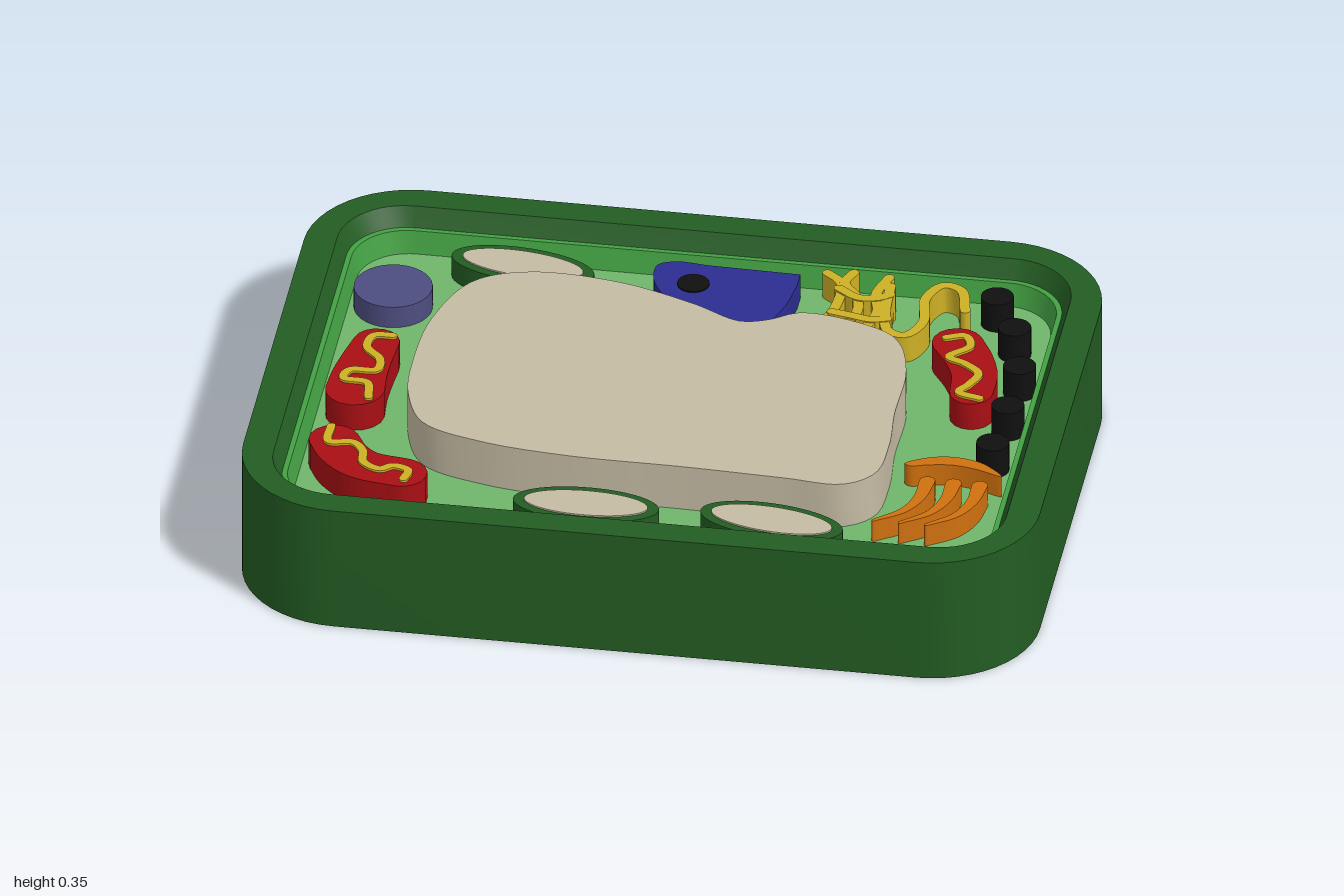
import * as THREE from 'three';
import { toCreasedNormals } from 'three/addons/utils/BufferGeometryUtils.js';

const mat = (name, color, side = THREE.FrontSide) => {
  const m = new THREE.MeshStandardMaterial({ color, side });
  m.name = name;
  return m;
};

const FLOOR = 0.23;

export function createModel() {
  const M = {
    wall: mat('dark green', 0x235c23),
    membrane: mat('mid green', 0x43a043),
    cytoplasm: mat('light green', 0x6fb56a),
    beige: mat('beige', 0xc4bba3),
    blue: mat('blue', 0x2c2c90),
    purple: mat('purple', 0x4d4d80),
    black: mat('black', 0x101010),
    red: mat('red', 0xa80f14),
    yellow: mat('yellow', 0xcdb026),
    orange: mat('orange', 0xd0700f),
  };
  const group = new THREE.Group();
  const add = (name, geometry, material) => {
    const mesh = new THREE.Mesh(geometry, material);
    mesh.name = name;
    group.add(mesh);
    return mesh;
  };

  // Skin through rounded rectangles [halfX, halfZ, radius, y]
  const loft = (sections) => {
    const n = 12, rings = sections.map(([hx, hz, r, y]) => {
      const ring = [];
      [[1, 1], [-1, 1], [-1, -1], [1, -1]].forEach(([sx, sz], c) => {
        for (let i = 0; i <= n; i++) {
          const a = (c + i / n) * Math.PI / 2;
          ring.push([sx * (hx - r) + r * Math.cos(a), y, sz * (hz - r) + r * Math.sin(a)]);
        }
      });
      return ring;
    });
    const pos = [];
    for (let k = 0; k + 1 < rings.length; k++) {
      const a = rings[k], b = rings[k + 1];
      for (let i = 0; i < a.length; i++) {
        const j = (i + 1) % a.length;
        pos.push(...a[i], ...b[i], ...b[j], ...a[i], ...b[j], ...a[j]);
      }
    }
    const g = new THREE.BufferGeometry();
    g.setAttribute('position', new THREE.Float32BufferAttribute(pos, 3));
    return toCreasedNormals(g, 0.6);
  };

  // Upright slab from an outline of [x, z] points
  const slab = (points, y0, y1) => {
    const shape = new THREE.Shape(points.map(([x, z]) => new THREE.Vector2(x, -z)));
    const g = new THREE.ExtrudeGeometry(shape, { depth: y1 - y0, bevelEnabled: false });
    g.rotateX(-Math.PI / 2);
    g.translate(0, y0, 0);
    return toCreasedNormals(g, 0.7);
  };
  const spline = (pts, closed, n) =>
    new THREE.CatmullRomCurve3(pts.map(([x, z]) => new THREE.Vector3(x, 0, z)), closed, 'centripetal').getSpacedPoints(n);
  const blob = (pts, n = 80) => spline(pts, true, n).slice(0, -1).map((p) => [p.x, p.z]);

  // Round-ended stroke along a path; the half width goes from w0 to w1
  const stroke = (pts, w0, w1, y0, y1, n = 40) => {
    const path = spline(pts, false, n), left = [], right = [];
    const dir = (i) => {
      const a = path[Math.max(i - 1, 0)], b = path[Math.min(i + 1, n)];
      return Math.atan2(b.z - a.z, b.x - a.x);
    };
    path.forEach((p, i) => {
      const a = dir(i), w = w0 + (w1 - w0) * i / n;
      left.push([p.x - Math.sin(a) * w, p.z + Math.cos(a) * w]);
      right.unshift([p.x + Math.sin(a) * w, p.z - Math.cos(a) * w]);
    });
    const cap = (p, a, w) => [1, 2, 3, 4, 5, 6, 7].map((k) => {
      const t = a + Math.PI / 2 - k * Math.PI / 8;
      return [p.x + Math.cos(t) * w, p.z + Math.sin(t) * w];
    });
    const outline = [...left, ...cap(path[n], dir(n), w1), ...right, ...cap(path[0], dir(0) + Math.PI, w0)];
    return slab(outline, y0, y1);
  };
  const disc = (name, x, z, r, y0, y1, material) => {
    const g = new THREE.CylinderGeometry(r, r, y1 - y0, 32);
    g.translate(x, (y0 + y1) / 2, z);
    add(name, g, material);
  };

  // Cell wall tray, membrane ledge and floor
  add('cellWall', loft([
    [0.002, 0.002, 0.001, 0], [1, 0.74, 0.27, 0], [1, 0.74, 0.27, 0.34],
    [0.92, 0.665, 0.17, 0.34], [0.897, 0.643, 0.15, 0.29],
  ]), M.wall);
  add('membrane', loft([
    [0.897, 0.643, 0.15, 0.29], [0.884, 0.63, 0.14, 0.29], [0.87, 0.617, 0.13, FLOOR],
  ]), M.membrane);
  add('cytoplasm', loft([[0.87, 0.617, 0.13, FLOOR], [0.002, 0.002, 0.001, FLOOR]]), M.cytoplasm);

  // Large central vacuole
  add('vacuole', slab(blob([
    [-0.42, -0.392], [-0.2, -0.382], [0, -0.315], [0.13, -0.253], [0.2, -0.272], [0.27, -0.315], [0.4, -0.3],
    [0.52, -0.24], [0.572, -0.1], [0.575, 0.1], [0.585, 0.25], [0.57, 0.38], [0.5, 0.44], [0.35, 0.435],
    [0.1, 0.425], [-0.2, 0.42], [-0.42, 0.39], [-0.57, 0.33], [-0.63, 0.2], [-0.642, 0.05], [-0.625, -0.15], [-0.55, -0.33],
  ], 140), FLOOR, 0.355), M.beige);

  // Nucleus with nucleolus
  add('nucleus', slab([[0.23, -0.57], ...spline([
    [0.23, -0.52], [0.215, -0.42], [0.18, -0.335], [0.12, -0.305], [0.02, -0.335], [-0.07, -0.4], [-0.125, -0.49],
    [-0.125, -0.56], [-0.08, -0.58], [0, -0.575],
  ], false, 60).map((p) => [p.x, p.z])], FLOOR, 0.3), M.blue);
  disc('nucleolus', -0.025, -0.485, 0.04, 0.296, 0.304, M.black);

  // Round body and small dark bodies along the side
  disc('peroxisome', -0.76, -0.373, 0.098, FLOOR, 0.29, M.purple);
  for (const [x, z] of [[0.73, -0.535], [0.795, -0.403], [0.835, -0.232], [0.835, -0.05], [0.825, 0.123]])
    disc('ribosome', x, z, 0.041, FLOOR, 0.31, M.black);

  // Chloroplasts: oval rim with a pale face
  for (const [x, z, turn] of [[-0.458, -0.52, 0.13], [-0.13, 0.532, 0], [0.336, 0.532, 0.13]]) {
    const oval = (a, b) => Array.from({ length: 48 }, (_, i) => {
      const t = i / 24 * Math.PI, u = a * Math.cos(t), v = b * Math.sin(t);
      return [x + u * Math.cos(turn) - v * Math.sin(turn), z + u * Math.sin(turn) + v * Math.cos(turn)];
    });
    add('chloroplast', slab(oval(0.183, 0.076), FLOOR, 0.29), M.wall);
    add('chloroplastFace', slab(oval(0.155, 0.055), 0.288, 0.294), M.beige);
  }

  // Mitochondria with folded inner lines
  const mitochondria = [
    [[[-0.757, -0.095], [-0.77, 0], [-0.775, 0.06], [-0.775, 0.128]], 0.058, 0.074,
      [[-0.72, -0.12], [-0.765, -0.115], [-0.775, -0.06], [-0.735, -0.01], [-0.735, 0.04], [-0.8, 0.05], [-0.81, 0.09], [-0.75, 0.1], [-0.735, 0.165]]],
    [[[-0.79, 0.36], [-0.755, 0.42], [-0.7, 0.465], [-0.6, 0.485]], 0.063, 0.064,
      [[-0.805, 0.31], [-0.8, 0.38], [-0.74, 0.375], [-0.71, 0.41], [-0.7, 0.46], [-0.655, 0.485], [-0.625, 0.465], [-0.585, 0.48], [-0.59, 0.52]]],
    [[[0.665, -0.32], [0.705, -0.25], [0.73, -0.18], [0.735, -0.1]], 0.064, 0.054,
      [[0.635, -0.33], [0.68, -0.345], [0.7, -0.3], [0.655, -0.245], [0.7, -0.22], [0.74, -0.18], [0.725, -0.13], [0.705, -0.09], [0.76, -0.07]]],
  ];
  for (const [body, w0, w1, fold] of mitochondria) {
    add('mitochondrion', stroke(body, w0, w1, FLOOR, 0.305), M.red);
    add('mitochondrionFold', stroke(fold, 0.011, 0.011, 0.303, 0.311, 60), M.yellow);
  }

  // Wavy reticulum strands, with small height steps where they cross
  [
    [[0.295, -0.59], [0.335, -0.55], [0.34, -0.45], [0.325, -0.39], [0.29, -0.345]],
    [[0.36, -0.6], [0.345, -0.55], [0.385, -0.49], [0.395, -0.42], [0.365, -0.34]],
    [[0.45, -0.59], [0.43, -0.51], [0.445, -0.43], [0.42, -0.33]],
    [[0.46, -0.55], [0.465, -0.44], [0.485, -0.35], [0.53, -0.335], [0.565, -0.4], [0.555, -0.51], [0.59, -0.575], [0.635, -0.56], [0.66, -0.47]],
    [[0.335, -0.52], [0.39, -0.485], [0.435, -0.49], [0.465, -0.51]],
    [[0.335, -0.41], [0.385, -0.4], [0.435, -0.39], [0.475, -0.4]],
  ].forEach((p, i) => add('reticulumStrand', stroke(p, 0.013, 0.013, FLOOR, 0.3 + i * 0.001, 50), M.yellow));

  // Stacked orange arcs
  add('golgiArc', slab(blob([
    [0.62, 0.222], [0.68, 0.185], [0.74, 0.175], [0.81, 0.192], [0.868, 0.245], [0.8, 0.222], [0.74, 0.212], [0.68, 0.22], [0.635, 0.232],
  ]), FLOOR, 0.29), M.orange);
  for (const dx of [0, 0.066, 0.132])
    add('golgiArc', stroke([[0.688 + dx, 0.292], [0.68 + dx, 0.37], [0.65 + dx, 0.435], [0.585 + dx, 0.49]], 0.02, 0.005, FLOOR, 0.29), M.orange);

  return group;
}
